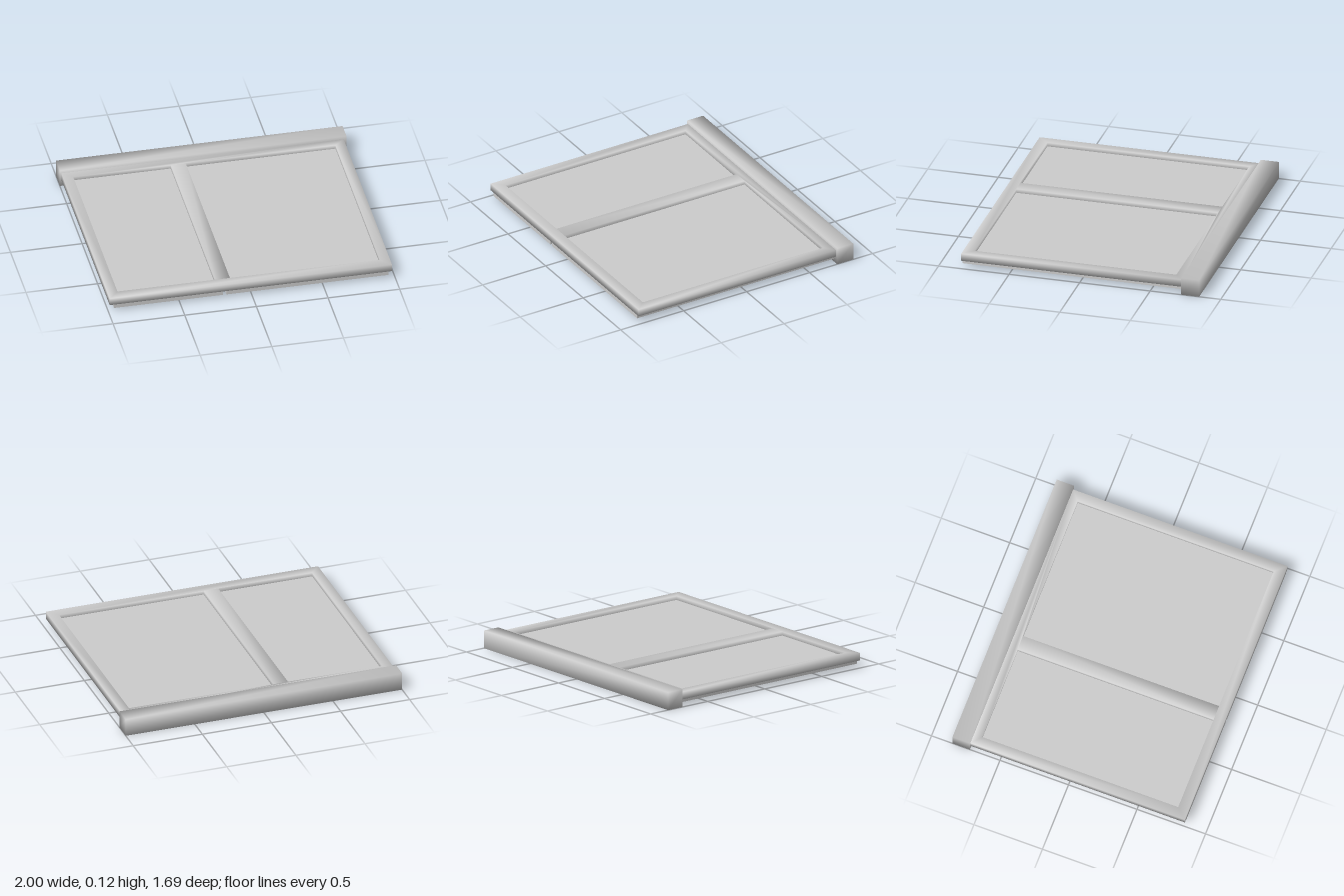
import * as THREE from 'three';
import { mergeVertices } from 'three/addons/utils/BufferGeometryUtils.js';

const BACK = -0.72, FRONT = 0.845;

// Weld the corners so shading flows softly around the edges
function soften(geometry) {
  geometry.deleteAttribute('normal');
  geometry.deleteAttribute('uv');
  const welded = mergeVertices(geometry, 1e-4);
  welded.computeVertexNormals();
  return welded;
}

// Box given by its limits on each axis
function boxBetween(x0, x1, y0, y1, z0, z1) {
  return new THREE.BoxGeometry(x1 - x0, y1 - y0, z1 - z0)
    .translate((x0 + x1) / 2, (y0 + y1) / 2, (z0 + z1) / 2);
}

// Rectangle in plan; shape y becomes -z once laid flat
function planRect(target, x0, x1, z0, z1) {
  target.moveTo(x0, -z1);
  target.lineTo(x1, -z1);
  target.lineTo(x1, -z0);
  target.lineTo(x0, -z0);
  target.closePath();
  return target;
}

export function createModel() {
  const group = new THREE.Group();
  const material = new THREE.MeshStandardMaterial({ color: 0xcccccc });
  const add = (name, geometry) => {
    const mesh = new THREE.Mesh(geometry, material);
    mesh.name = name;
    group.add(mesh);
  };

  // Frame with a narrow and a wide opening
  const outline = planRect(new THREE.Shape(), -0.99, 0.98, BACK, FRONT);
  for (const [x0, x1] of [[-0.92, -0.24], [-0.135, 0.91]]) {
    outline.holes.push(planRect(new THREE.Path(), x0, x1, -0.66, 0.77));
  }
  const frame = new THREE.ExtrudeGeometry(outline, { depth: 0.053, bevelEnabled: false });
  frame.rotateX(-Math.PI / 2).translate(0, 0.05, 0);
  add('frame', soften(frame));

  // Panels fill the openings and hang slightly below the frame
  add('narrowPanel', boxBetween(-0.96, -0.2, 0.021, 0.075, BACK, FRONT - 0.002));
  add('widePanel', boxBetween(-0.175, 0.955, 0.021, 0.075, BACK, FRONT - 0.002));

  // Thick rail across the back
  add('backRail', soften(boxBetween(-1, 1, 0, 0.125, -0.847, BACK)));

  return group;
}
